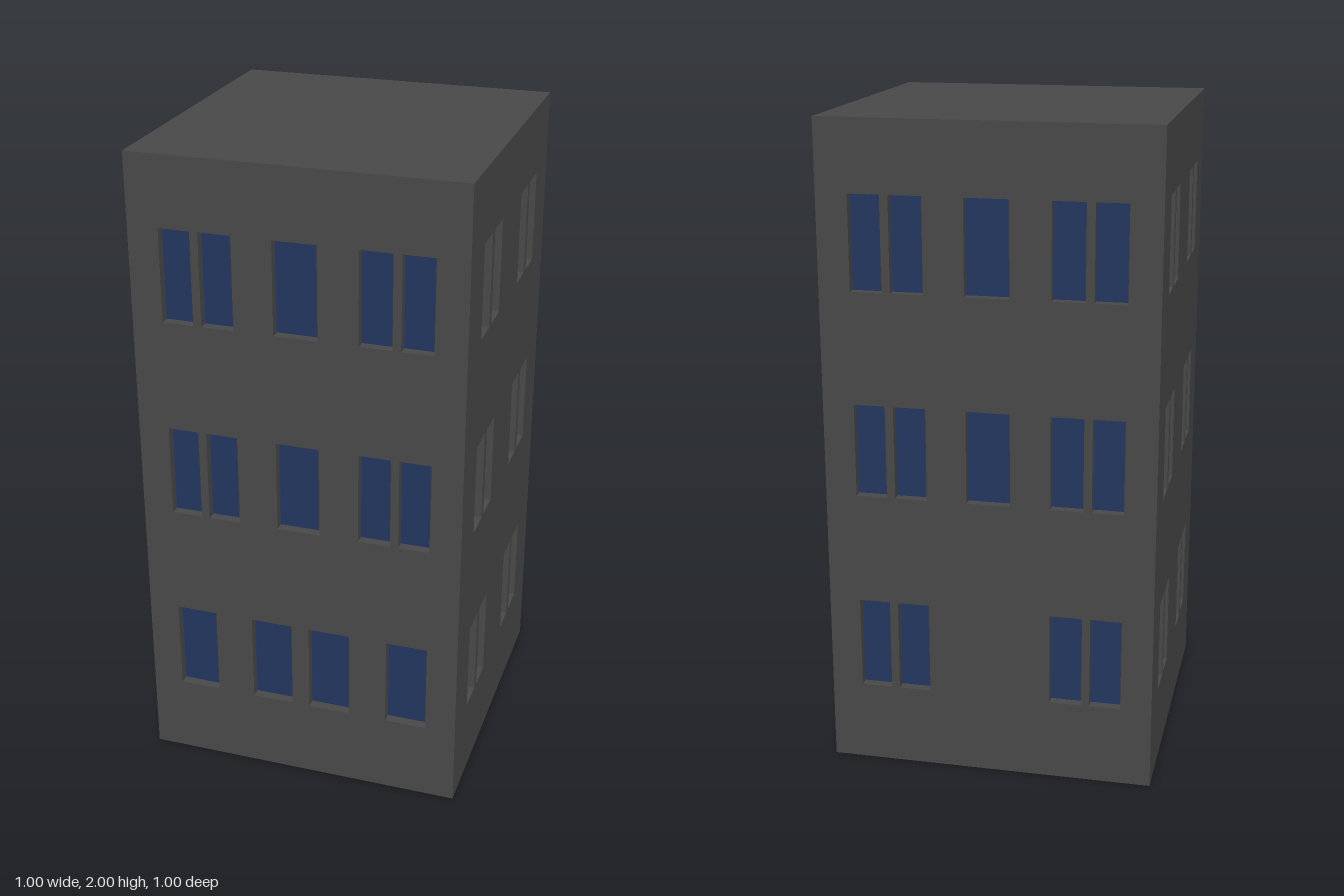
import * as THREE from 'three';

const HEIGHT = 2, HALF = 0.5, RECESS = 0.03, WIN_H = 0.285;
const SILLS = [0.25, 0.875, 1.5];

const wallMat = new THREE.MeshStandardMaterial({ color: 0x484848 });
wallMat.name = 'darkGreyWall';
const glassMat = new THREE.MeshStandardMaterial({ color: 0x22365e });
glassMat.name = 'navyGlass';

// Window spans [left, right] for one floor, mirrored about the wall's middle
const mirror = (spans) => [...spans, ...spans.map(([a, b]) => [-b, -a])];
const pairs = mirror([[-0.405, -0.31], [-0.285, -0.187]]);
const pairsAndMiddle = [...pairs, [-0.066, 0.066]];
const groundFront = mirror([[-0.405, -0.277], [-0.158, -0.028]]);
const sidePairs = mirror([[-0.347, -0.247], [-0.222, -0.124]]);

function add(parent, name, geometry, material) {
  const mesh = new THREE.Mesh(geometry, material);
  mesh.name = name;
  parent.add(mesh);
  return mesh;
}

// Four inward-facing sides of a window opening
function revealGeometry(w, h) {
  const geo = new THREE.BoxGeometry(w, h, RECESS);
  geo.clearGroups();
  geo.setIndex(Array.from(geo.index.array.slice(0, 24)).reverse());
  const n = geo.attributes.normal;
  for (let i = 0; i < n.array.length; i++) n.array[i] *= -1;
  return geo;
}

// One wall facing +z, with a list of window spans for each floor
function makeWall(name, floors) {
  const wall = new THREE.Group();
  wall.name = name;
  const shape = new THREE.Shape([
    new THREE.Vector2(-HALF, 0), new THREE.Vector2(HALF, 0),
    new THREE.Vector2(HALF, HEIGHT), new THREE.Vector2(-HALF, HEIGHT),
  ]);
  floors.forEach((spans, floor) => spans.forEach(([x0, x1]) => {
    const y0 = SILLS[floor], y1 = y0 + WIN_H;
    shape.holes.push(new THREE.Path([
      new THREE.Vector2(x0, y0), new THREE.Vector2(x0, y1),
      new THREE.Vector2(x1, y1), new THREE.Vector2(x1, y0),
    ]));
    const x = (x0 + x1) / 2, y = (y0 + y1) / 2;
    add(wall, 'windowReveal', revealGeometry(x1 - x0, WIN_H), wallMat)
      .position.set(x, y, HALF - RECESS / 2);
    add(wall, 'windowPane', new THREE.PlaneGeometry(x1 - x0, WIN_H), glassMat)
      .position.set(x, y, HALF - RECESS);
  }));
  add(wall, 'wallFace', new THREE.ShapeGeometry(shape), wallMat).position.z = HALF;
  return wall;
}

export function createModel() {
  const building = new THREE.Group();
  building.name = 'building';

  // Four walls, turned about the vertical axis
  const sides = [
    ['frontWall', [groundFront, pairsAndMiddle, pairsAndMiddle]],
    ['leftWall', [sidePairs, sidePairs, sidePairs]],
    ['backWall', [pairs, pairsAndMiddle, pairsAndMiddle]],
    ['rightWall', [sidePairs, sidePairs, sidePairs]],
  ];
  sides.forEach(([name, floors], i) => {
    const wall = makeWall(name, floors);
    wall.rotation.y = i * Math.PI / 2;
    building.add(wall);
  });

  // Flat roof and underside
  const roof = add(building, 'roof', new THREE.PlaneGeometry(1, 1), wallMat);
  roof.rotation.x = -Math.PI / 2;
  roof.position.y = HEIGHT;
  add(building, 'base', new THREE.PlaneGeometry(1, 1), wallMat).rotation.x = Math.PI / 2;

  return building;
}
